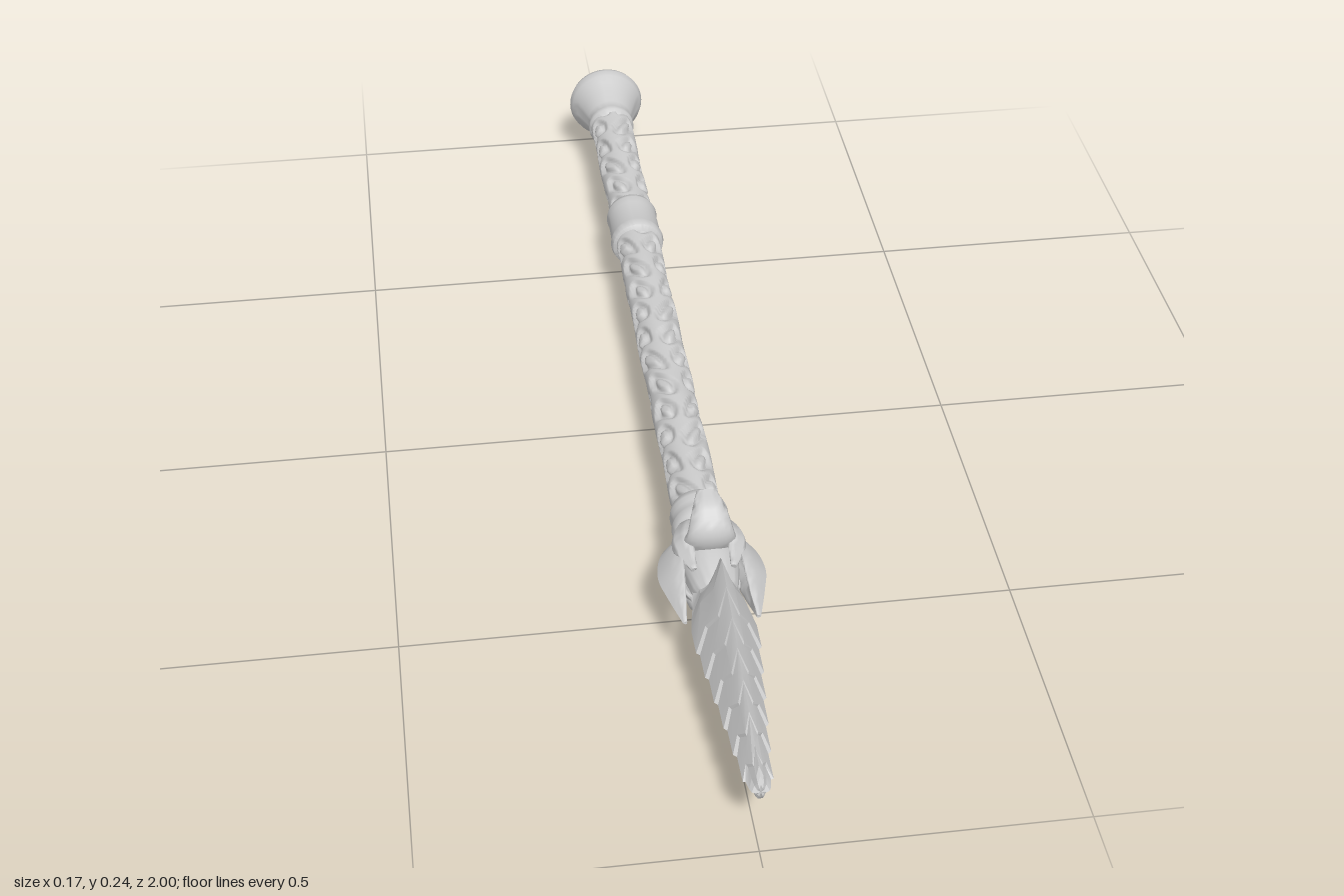
import * as THREE from 'three';
import { mergeVertices, toCreasedNormals } from 'three/addons/utils/BufferGeometryUtils.js';

const AXIS_Y = 0.124;

// Skin a series of closed rings and cap both ends
function loft(rings, crease) {
  const n = rings[0].length, pos = [], idx = [];
  rings.forEach(r => r.forEach(p => pos.push(...p)));
  for (let j = 0; j < rings.length - 1; j++) {
    for (let i = 0; i < n; i++) {
      const a = j * n + i, b = j * n + (i + 1) % n;
      idx.push(a, b, b + n, a, b + n, a + n);
    }
  }
  [0, rings.length - 1].forEach(j => {
    const c = pos.length / 3;
    const mid = [0, 1, 2].map(k => rings[j].reduce((s, p) => s + p[k], 0) / n);
    pos.push(...mid);
    for (let i = 0; i < n; i++) {
      const a = j * n + i, b = j * n + (i + 1) % n;
      if (j === 0) idx.push(c, b, a); else idx.push(c, a, b);
    }
  });
  const g = new THREE.BufferGeometry();
  g.setAttribute('position', new THREE.Float32BufferAttribute(pos, 3));
  g.setIndex(idx);
  return toCreasedNormals(g, crease);
}

// Turned part along z; profile is [radius, z] with z rising
function turned(profile, segments = 40) {
  const g = new THREE.LatheGeometry(profile.map(p => new THREE.Vector2(p[0], p[1])), segments);
  g.rotateX(Math.PI / 2);
  return toCreasedNormals(g, 0.9);
}

// Curled leaf; stations are [radius, z, half width, half thickness], fold bends its sides inward
function leaf(stations, fold) {
  const path = new THREE.CatmullRomCurve3(stations.map(s => new THREE.Vector3(0, s[0], s[1])));
  const sizes = new THREE.CatmullRomCurve3(stations.map(s => new THREE.Vector3(s[2], s[3], 0)));
  const rings = [], X = new THREE.Vector3(1, 0, 0);
  for (let j = 0; j <= 20; j++) {
    const t = j / 20, p = path.getPoint(t), s = sizes.getPoint(t);
    const nrm = path.getTangent(t).cross(X).normalize();
    const ring = [];
    for (let i = 0; i < 20; i++) {
      const a = i / 20 * Math.PI * 2, w = Math.cos(a) * s.x, d = Math.sin(a) * s.y;
      ring.push([w, p.y + nrm.y * d - fold * Math.abs(w), p.z + nrm.z * d]);
    }
    rings.push(ring);
  }
  return loft(rings, 1.2);
}

// Rod with rows of ringed ovals cut into its surface
function carvedShaft() {
  const z0 = -0.85, z1 = 0.42, rows = 320;
  const profile = [];
  for (let i = 0; i <= rows; i++) profile.push(new THREE.Vector2(0.04, z0 + (z1 - z0) * i / rows));
  let g = new THREE.LatheGeometry(profile, 60);
  g.rotateX(Math.PI / 2);
  g.deleteAttribute('uv');
  g.deleteAttribute('normal');
  g = mergeVertices(g, 1e-5);
  const p = g.attributes.position;
  for (let i = 0; i < p.count; i++) {
    const x = p.getX(i), y = p.getY(i), z = p.getZ(i), a = Math.atan2(y, x);
    const cell = Math.abs(Math.sin(2 * a + 0.7 * Math.sin(19 * z)) * Math.cos(44 * z + 0.6 * Math.sin(3 * a)));
    const groove = THREE.MathUtils.smoothstep(cell, 0.3, 0.5) * (1 - THREE.MathUtils.smoothstep(cell, 0.72, 0.9));
    const r = 0.0405 - 0.0075 * groove + 0.001 * Math.sin(3 * a + 31 * z);
    p.setXY(i, Math.cos(a) * r, Math.sin(a) * r);
  }
  g.computeVertexNormals();
  return g;
}

// Diamond-section blade built of overlapping zigzag plates
function blade() {
  // z offset from side ridge (first) to cutting edge (last)
  const zigzag = [1, 0.35, 0.75, 0];
  const section = (z, h, w, sweep = 0.035) => {
    const ring = [];
    for (let i = 0; i < 12; i++) {
      const quarter = Math.floor(i / 3), k = i % 3;
      const e = quarter % 2 ? 3 - k : k;
      const sx = quarter === 1 || quarter === 2 ? -1 : 1, sy = quarter < 2 ? 1 : -1;
      ring.push([sx * w * (1 - e / 3), sy * h * e / 3, z + sweep * zigzag[e]]);
    }
    return ring;
  };
  const rings = [section(0.5, 0.026, 0.034), section(0.56, 0.036, 0.038, 0.02),
    section(0.585, 0.058, 0.042, 0.02), section(0.605, 0.1, 0.046, 0.02)];
  const layers = 6, start = 0.62, step = 0.054;
  for (let i = 0; i < layers; i++) {
    const h = 0.11 - 0.0125 * i, w = 0.051 - 0.0056 * i;
    rings.push(section(start + i * step, h, w));
    rings.push(section(start + (i + 1) * step - 0.005, h - 0.0105, w - 0.0005));
  }
  // Blunt rounded tip
  rings.push(section(0.95, 0.036, 0.0185, 0.025), section(0.975, 0.031, 0.016, 0.014),
    section(0.988, 0.023, 0.013, 0.008), section(0.995, 0.012, 0.008, 0.004));
  return loft(rings, 0.25);
}

export function createModel() {
  const model = new THREE.Group();
  const stone = new THREE.MeshStandardMaterial({ color: 0xcccccc });
  stone.name = 'light grey stone';

  const spear = new THREE.Group();
  spear.name = 'spear';
  spear.position.y = AXIS_Y;
  model.add(spear);
  const add = (name, geometry, turn = 0) => {
    const m = new THREE.Mesh(geometry, stone);
    m.name = name;
    m.rotation.z = turn;
    spear.add(m);
  };

  add('carvedShaft', carvedShaft());
  add('blade', blade());

  // Grip band, front collar and socket
  add('gripBand', turned([[0.036, -0.52], [0.045, -0.516], [0.048, -0.505], [0.046, -0.49],
    [0.047, -0.43], [0.05, -0.42], [0.047, -0.408], [0.036, -0.403]]));
  add('collar', turned([[0.036, 0.368], [0.045, 0.373], [0.048, 0.386], [0.046, 0.396],
    [0.046, 0.408], [0.049, 0.416], [0.046, 0.428], [0.04, 0.434]]));
  add('socket', turned([[0.038, 0.42], [0.043, 0.45], [0.048, 0.49], [0.044, 0.53],
    [0.036, 0.57], [0.02, 0.6], [0, 0.605]]));

  // Flared pommel with a rounded knob
  add('pommel', turned([[0, -1], [0.018, -0.997], [0.034, -0.988], [0.045, -0.974], [0.051, -0.957],
    [0.061, -0.961], [0.07, -0.955], [0.074, -0.943], [0.07, -0.93], [0.062, -0.918],
    [0.053, -0.893], [0.045, -0.87], [0.042, -0.858], [0.045, -0.851], [0.045, -0.84], [0.036, -0.832]]));

  // Horns above and below, curling back
  const horn = leaf([[0.02, 0.465, 0.036, 0.014], [0.045, 0.5, 0.043, 0.018], [0.072, 0.51, 0.037, 0.017],
    [0.1, 0.493, 0.028, 0.013], [0.116, 0.462, 0.016, 0.006]], 0);
  // Ridged side claws reaching along the blade
  const claw = leaf([[0.032, 0.45, 0.018, 0.01], [0.062, 0.48, 0.036, 0.013], [0.075, 0.53, 0.038, 0.011],
    [0.068, 0.575, 0.024, 0.009], [0.058, 0.635, 0.003, 0.003]], 0.75);
  for (const [i, side] of ['upper', 'lower'].entries()) add(side + 'Horn', horn, i * Math.PI);
  for (const [i, side] of ['right', 'left'].entries()) add(side + 'Claw', claw, Math.PI / 2 + i * Math.PI);

  // Small leaves filling the diagonals
  const small = leaf([[0.032, 0.43, 0.012, 0.008], [0.052, 0.46, 0.024, 0.01],
    [0.063, 0.5, 0.022, 0.01], [0.045, 0.55, 0.005, 0.004]], 0.2);
  for (let i = 0; i < 4; i++) add('diagonalLeaf', small, Math.PI / 4 + i * Math.PI / 2);

  return model;
}
